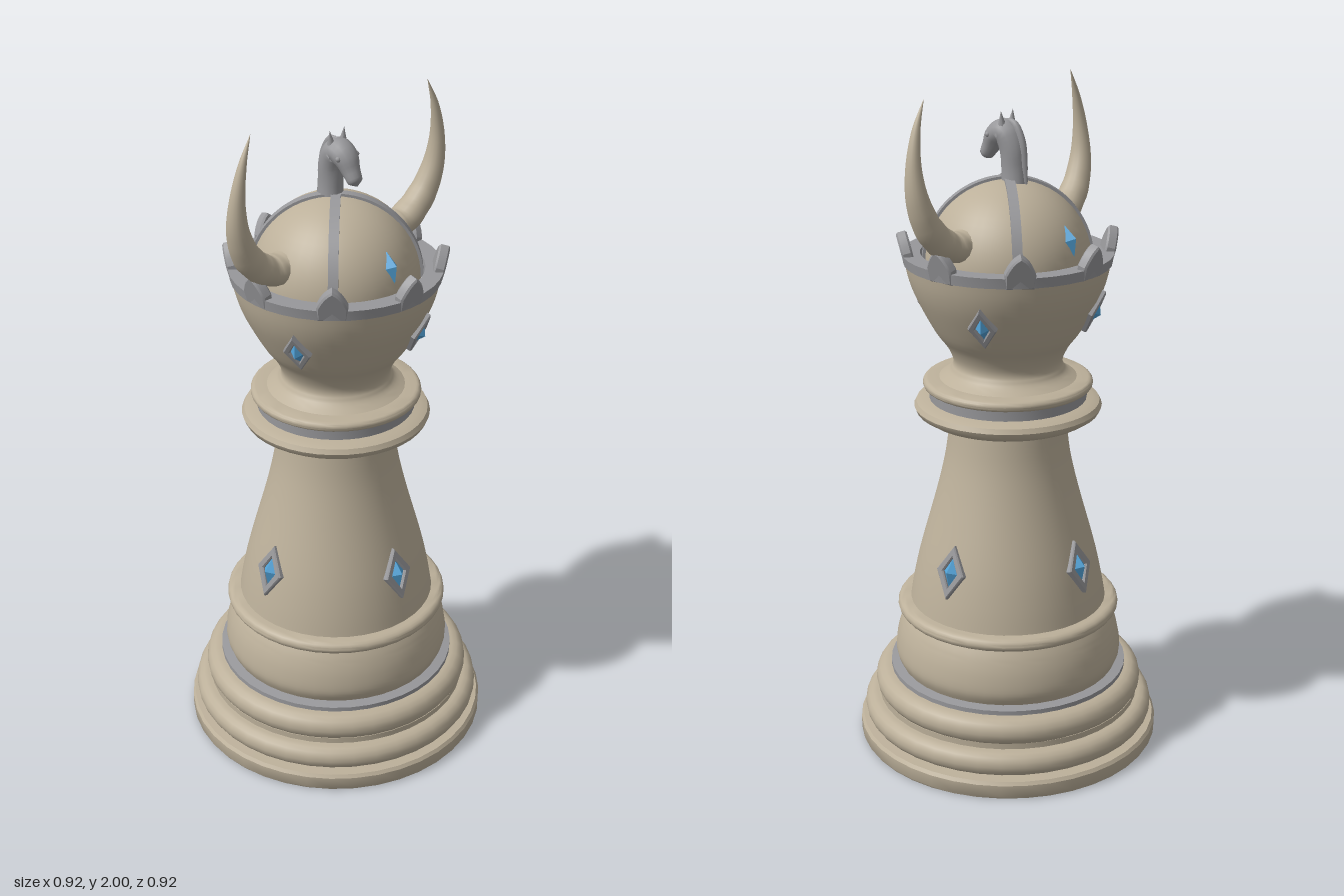
import * as THREE from 'three';
import { toCreasedNormals } from 'three/addons/utils/BufferGeometryUtils.js';

const mat = (name, color) => {
  const m = new THREE.MeshStandardMaterial({ color });
  m.name = name;
  return m;
};

export function createModel() {
  const root = new THREE.Group();
  root.name = 'chessPiece';
  const stone = mat('warm stone', 0xbcb09a);
  const silver = mat('silver', 0x98989b);
  const blue = mat('blue crystal', 0x52a3d8);

  const add = (name, geo, material, parent = root) => {
    const m = new THREE.Mesh(geo, material);
    m.name = name;
    parent.add(m);
    return m;
  };
  const turn = (name, pts, material) => add(name, toCreasedNormals(
    new THREE.LatheGeometry(pts.map(p => new THREE.Vector2(p[0], p[1])), 40), 0.6), material);

  // half-ellipse bead profile between two heights
  const bead = (rIn, rOut, y0, y1, n = 8) => Array.from({ length: n + 1 }, (_, i) => {
    const a = -Math.PI / 2 + Math.PI * i / n;
    return [rIn + (rOut - rIn) * Math.cos(a), (y0 + y1) / 2 + (y1 - y0) / 2 * Math.sin(a)];
  });
  // smooth profile through a few points
  const smooth = (pts, n = 20) => new THREE.SplineCurve(pts.map(p => new THREE.Vector2(...p)))
    .getPoints(n).map(p => [p.x, p.y]);

  // stepped base
  turn('basePlate', [[0, 0], [0.455, 0], [0.46, 0.008], [0.46, 0.044], [0.453, 0.054], [0.4, 0.058]], stone);
  turn('lowerBaseRing', [...bead(0.41, 0.445, 0.056, 0.132), [0.36, 0.132]], stone);
  turn('upperBaseRing', [[0.36, 0.14], ...bead(0.37, 0.41, 0.138, 0.222), [0.3, 0.224]], stone);
  turn('baseNeck', [[0.4, 0.12], [0.4, 0.15]], stone);
  turn('baseBand', [[0.34, 0.222], [0.362, 0.222], [0.362, 0.236], [0.33, 0.24]], silver);
  turn('baseBulge', smooth([[0.33, 0.235], [0.345, 0.275], [0.34, 0.33], [0.325, 0.38], [0.305, 0.42]]), stone);
  turn('waistRing', [[0.28, 0.41], ...bead(0.315, 0.337, 0.41, 0.45), [0.26, 0.45]], stone);

  // tapering column
  turn('column', smooth([[0.298, 0.445], [0.285, 0.52], [0.262, 0.62], [0.212, 0.8],
    [0.185, 0.92], [0.172, 1.03]]), stone);

  // collar
  turn('lowerCollar', [[0.165, 1.02], [0.2, 1.022], [0.245, 1.036], [0.27, 1.052], [0.277, 1.068],
    [0.27, 1.082], [0.25, 1.09], [0.2, 1.094]], stone);
  turn('collarBand', [[0.2, 1.09], [0.232, 1.09], [0.232, 1.125], [0.2, 1.125]], silver);
  turn('upperCollar', [[0.2, 1.122], ...bead(0.235, 0.25, 1.122, 1.152), [0.2, 1.154]], stone);

  // bowl shaped head and its rim
  turn('bowl', smooth([[0.205, 1.152], [0.172, 1.175], [0.16, 1.205], [0.178, 1.25], [0.214, 1.3],
    [0.262, 1.39], [0.285, 1.45], [0.297, 1.505]], 28), stone);
  turn('rim', [[0.28, 1.498], [0.3, 1.498], [0.305, 1.528], [0.252, 1.528], [0.248, 1.49]], silver);

  // helmet dome with crossed straps
  add('dome', new THREE.SphereGeometry(0.24, 40, 16, 0, Math.PI * 2, 0, Math.PI / 2 + 0.1), stone)
    .position.y = 1.5;
  const half = new THREE.Shape().absarc(0, 0, 0.247, 0, Math.PI, false);
  const strapGeo = toCreasedNormals(new THREE.ExtrudeGeometry(half,
    { depth: 0.028, bevelEnabled: false, curveSegments: 32 }).translate(0, 0, -0.014), 0.6);
  for (const s of [-1, 1]) {
    const strap = add('strap', strapGeo, silver);
    strap.position.y = 1.5;
    strap.rotation.y = s * Math.PI / 4;
  }

  // crown points leaning outward around the rim
  const point = new THREE.Shape();
  point.moveTo(-0.036, 0);
  point.lineTo(0.036, 0);
  point.lineTo(0.038, 0.036);
  point.quadraticCurveTo(0.022, 0.075, 0, 0.087);
  point.quadraticCurveTo(-0.022, 0.075, -0.038, 0.036);
  const pointGeo = toCreasedNormals(new THREE.ExtrudeGeometry(point, { depth: 0.022, bevelSize: 0.005,
    bevelThickness: 0.005, bevelSegments: 1, curveSegments: 4 }), 0.4);

  // places a group on the body at an angle around y, leaning by tilt
  const place = (name, angle, r, y, tilt) => {
    const g = new THREE.Group();
    g.name = name;
    g.rotation.set(tilt, angle, 0, 'YXZ');
    g.position.set(Math.sin(angle) * r, y, Math.cos(angle) * r);
    root.add(g);
    return g;
  };
  for (let i = 0; i < 8; i++)
    add('point', pointGeo, silver, place('crownPoint', i * Math.PI / 4, 0.272, 1.505, 0.25));

  // diamond gems, with or without a frame
  const diamond = (Type, w, h) => {
    const s = new Type();
    s.moveTo(0, -h); s.lineTo(w, 0); s.lineTo(0, h); s.lineTo(-w, 0); s.closePath();
    return s;
  };
  const gemGeo = (w, h, d) => toCreasedNormals(
    new THREE.ConeGeometry(1, 1, 4).rotateX(Math.PI / 2).translate(0, 0, 0.5).scale(w, h, d), 0.05);
  const framedGem = (g, w, h) => {
    const s = diamond(THREE.Shape, w, h);
    s.holes.push(diamond(THREE.Path, w * 0.66, h * 0.68));
    add('frame', toCreasedNormals(new THREE.ExtrudeGeometry(s, { depth: 0.022, bevelSize: 0.004,
      bevelThickness: 0.004, bevelSegments: 1 }).translate(0, 0, -0.014), 0.3), silver, g);
    add('gem', gemGeo(w * 0.64, h * 0.68, 0.026), blue, g);
  };
  for (let i = 0; i < 4; i++) {
    const a = i * Math.PI / 2;
    framedGem(place('columnGem', a, 0.264, 0.61, -0.27), 0.046, 0.076);
    framedGem(place('bowlGem', a + Math.PI / 8, 0.252, 1.37, 0.44), 0.038, 0.064);
  }
  for (const a of [0, Math.PI])
    add('gem', gemGeo(0.023, 0.046, 0.025), blue, place('domeGem', a, 0.218, 1.591, -0.4));

  // loft of ellipses along a path: rows are [x, y, z, side radius, other radius]
  const loft = (rows, side, steps, n, ripple = () => 1) => {
    const path = new THREE.CatmullRomCurve3(rows.map(r => new THREE.Vector3(r[0], r[1], r[2])));
    const radii = new THREE.CatmullRomCurve3(rows.map(r => new THREE.Vector3(r[3], r[4], 0)));
    const pos = [], idx = [];
    for (let i = 0; i <= steps; i++) {
      const t = i / steps, c = path.getPoint(t), rad = radii.getPoint(t), k = ripple(t);
      const T = path.getTangent(t);
      const S = side.clone().addScaledVector(T, -side.dot(T)).normalize();
      const N = T.clone().cross(S);
      for (let j = 0; j < n; j++) {
        const a = j / n * Math.PI * 2;
        const p = c.clone().addScaledVector(S, Math.cos(a) * rad.x * k)
          .addScaledVector(N, Math.sin(a) * rad.y * k);
        pos.push(p.x, p.y, p.z);
        if (i < steps) {
          const b = (j + 1) % n, o = i * n;
          idx.push(o + j, o + b, o + n + b, o + j, o + n + b, o + n + j);
        }
      }
    }
    const g = new THREE.BufferGeometry();
    g.setAttribute('position', new THREE.Float32BufferAttribute(pos, 3));
    g.setIndex(idx);
    g.computeVertexNormals();
    return g;
  };

  // curved horns with faint growth ridges near the root
  const Z = new THREE.Vector3(0, 0, 1), X = new THREE.Vector3(1, 0, 0);
  for (const s of [-1, 1]) {
    add(s > 0 ? 'leftHorn' : 'rightHorn', loft([
      [s * 0.17, 1.59, 0, 0.052, 0.042], [s * 0.25, 1.588, 0.003, 0.05, 0.043],
      [s * 0.325, 1.645, 0.008, 0.043, 0.041], [s * 0.365, 1.73, 0.016, 0.034, 0.032],
      [s * 0.373, 1.82, 0.023, 0.023, 0.022], [s * 0.356, 1.92, 0.027, 0.012, 0.012],
      [s * 0.325, 2.0, 0.026, 0.0005, 0.0005]], Z, 40, 16,
    t => 1 + 0.05 * Math.max(0, 1 - 2 * t) * Math.sin(t * 60)), stone);
  }

  // horse head finial: neck, head, mane, ears and eyes
  const horse = new THREE.Group();
  horse.name = 'horseFinial';
  root.add(horse);
  add('neckAndHead', loft([
    [0, 1.71, -0.024, 0.036, 0.042], [0, 1.77, -0.022, 0.033, 0.038], [0, 1.83, -0.016, 0.037, 0.038],
    [0, 1.871, 0.008, 0.041, 0.036], [0, 1.858, 0.038, 0.038, 0.034], [0, 1.825, 0.06, 0.027, 0.026],
    [0, 1.799, 0.077, 0.022, 0.02], [0, 1.787, 0.085, 0.001, 0.001]], X, 28, 14), silver, horse);
  add('mane', loft([
    [0, 1.73, -0.058, 0.006, 0.012], [0, 1.79, -0.056, 0.01, 0.012], [0, 1.85, -0.048, 0.011, 0.012],
    [0, 1.895, -0.022, 0.01, 0.011], [0, 1.905, 0.012, 0.001, 0.001]], X, 16, 8), silver, horse);
  for (const s of [-1, 1]) {
    const ear = add('ear', new THREE.ConeGeometry(0.013, 0.045, 8), silver, horse);
    ear.position.set(s * 0.024, 1.908, 0.004);
    ear.rotation.z = -s * 0.12;
    add('eye', new THREE.SphereGeometry(0.008, 8, 6), silver, horse).position.set(s * 0.034, 1.862, 0.045);
  }
  return root;
}
